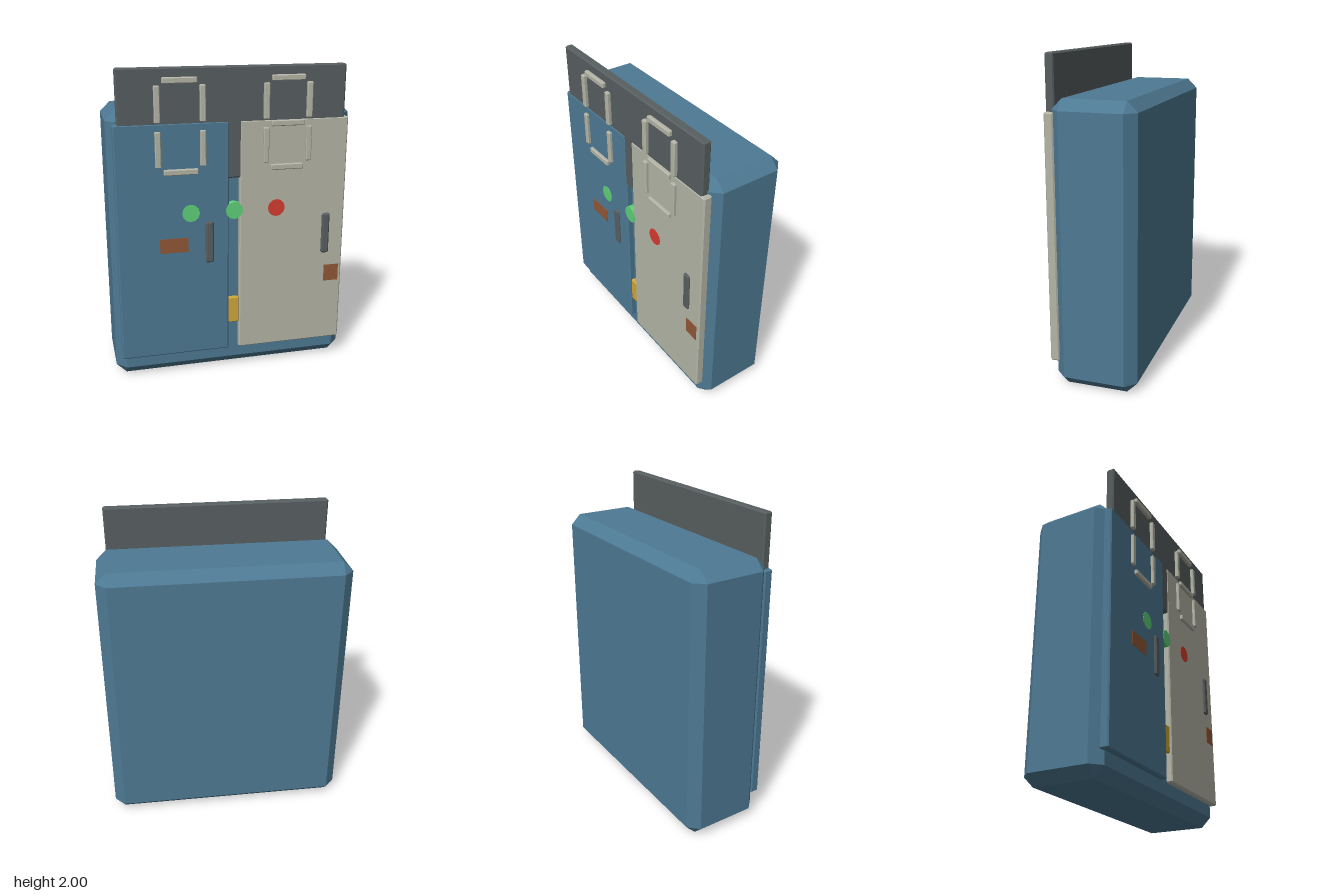
import * as THREE from 'three';
import { ConvexGeometry } from 'three/addons/geometries/ConvexGeometry.js';

const paint = (name, color) => {
  const m = new THREE.MeshStandardMaterial({ color });
  m.name = name;
  return m;
};

export function createModel() {
  const blue = paint('blue', 0x4e7a94);
  const cream = paint('cream', 0xb5b6a8);
  const dark = paint('dark grey', 0x585f60);
  const green = paint('green', 0x5fd078);
  const red = paint('red', 0xd63d30);
  const yellow = paint('yellow', 0xd0a838);
  const brown = paint('brown', 0x925837);

  const model = new THREE.Group();
  model.name = 'cabinet';

  const add = (name, geometry, material, parent = model) => {
    const mesh = new THREE.Mesh(geometry, material);
    mesh.name = name;
    parent.add(mesh);
    return mesh;
  };

  // Box between two corners with flat chamfers of width c on every edge
  const chamferBox = (x0, x1, y0, y1, z0, z1, c) => {
    const half = [(x1 - x0) / 2, (y1 - y0) / 2, (z1 - z0) / 2];
    const points = [];
    for (const sx of [-1, 1]) for (const sy of [-1, 1]) for (const sz of [-1, 1]) {
      for (let axis = 0; axis < 3; axis++) {
        const p = half.map((h, i) => (i === axis ? h : h - c));
        points.push(new THREE.Vector3(p[0] * sx, p[1] * sy, p[2] * sz));
      }
    }
    return new ConvexGeometry(points).translate((x0 + x1) / 2, (y0 + y1) / 2, (z0 + z1) / 2);
  };

  const plate = (x0, x1, y0, y1, z0, z1) =>
    new THREE.BoxGeometry(x1 - x0, y1 - y0, z1 - z0)
      .translate((x0 + x1) / 2, (y0 + y1) / 2, (z0 + z1) / 2);

  // Main body, header panel and the two doors
  add('body', chamferBox(-0.775, 0.775, 0, 1.75, -0.284, 0.227, 0.064), blue);
  add('headerPanel', chamferBox(-0.713, 0.713, 1.315, 2, 0.208, 0.261, 0.008), dark);
  add('rightDoor', chamferBox(-0.74, -0.035, 0.145, 1.672, 0.208, 0.265, 0.008), blue);
  add('leftDoor', chamferBox(0.035, 0.74, 0.145, 1.672, 0.208, 0.265, 0.008), cream);

  // Door handles
  for (const [name, x] of [['rightHandle', -0.161], ['leftHandle', 0.614]]) {
    add(name, chamferBox(x - 0.026, x + 0.026, 0.772, 1.045, 0.25, 0.28, 0.009), dark);
  }

  // Segmented frames; the left one also has a middle bar
  for (const [name, cx, middle] of [['rightFrame', -0.337, false], ['leftFrame', 0.337, true]]) {
    const frame = new THREE.Group();
    frame.name = name;
    model.add(frame);
    for (const y of middle ? [1.374, 1.65, 1.926] : [1.374, 1.926]) {
      add('crossBar', chamferBox(cx - 0.106, cx + 0.106, y - 0.018, y + 0.018, 0.255, 0.284, 0.005), cream, frame);
    }
    for (const dx of [-0.138, 0.138]) for (const y of [1.516, 1.788]) {
      const x = cx + dx;
      add('uprightBar', chamferBox(x - 0.018, x + 0.018, y - 0.11, y + 0.11, 0.255, 0.284, 0.005), cream, frame);
    }
  }

  // Round lamps: two thin ones on the doors, a deep one in the gap
  const lamp = (name, x, z0, z1, material) =>
    add(name, new THREE.CylinderGeometry(0.056, 0.056, z1 - z0, 12)
      .toNonIndexed().rotateX(Math.PI / 2).translate(x, 1.105, (z0 + z1) / 2), material)
      .geometry.computeVertexNormals();
  lamp('rightLamp', -0.278, 0.262, 0.268, green);
  lamp('middleLamp', 0, 0.215, 0.268, green);
  lamp('leftLamp', 0.276, 0.262, 0.268, red);

  // Latch block between the doors and the flat label plates
  add('latch', chamferBox(-0.036, 0.036, 0.328, 0.504, 0.21, 0.255, 0.005), yellow);
  add('rightLabel', plate(-0.477, -0.297, 0.854, 0.948, 0.262, 0.268), brown);
  add('leftLabel', plate(0.617, 0.718, 0.568, 0.681, 0.262, 0.268), brown);

  return model;
}
